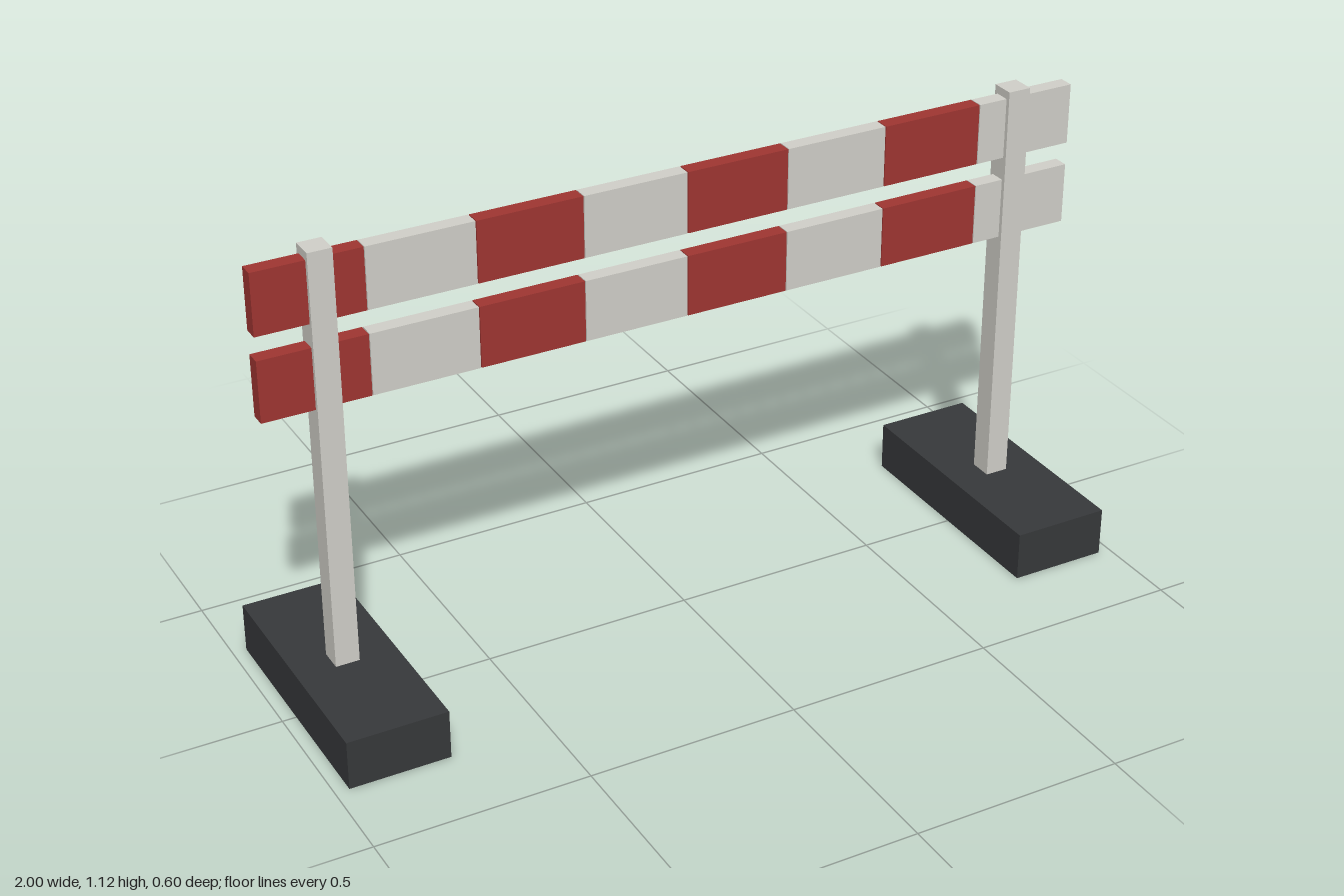
import * as THREE from 'three';

const paint = (color, side = THREE.FrontSide) =>
  new THREE.MeshStandardMaterial({ color, side });

function addMesh(parent, name, geometry, material, x, y, z = 0) {
  const mesh = new THREE.Mesh(geometry, material);
  mesh.name = name;
  mesh.position.set(x, y, z);
  parent.add(mesh);
  return mesh;
}

// Box without its underside, for the hollow feet
function openBottomBox(w, h, d) {
  const geo = new THREE.BoxGeometry(w, h, d);
  const index = Array.from(geo.index.array);
  index.splice(18, 6);
  geo.setIndex(index);
  geo.clearGroups();
  return geo;
}

export function createModel() {
  const model = new THREE.Group();
  model.name = 'barrier';

  const white = paint(0xd2d1ca);
  const red = paint(0xa03632);
  const rubber = paint(0x37393b, THREE.DoubleSide);

  // Two uprights, each standing in a hollow foot
  const footGeo = openBottomBox(0.236, 0.118, 0.596);
  const postGeo = new THREE.BoxGeometry(0.056, 1.12, 0.056);
  for (const [side, x] of [['left', 0.85], ['right', -0.85]]) {
    const support = new THREE.Group();
    support.name = `${side}Support`;
    addMesh(support, 'foot', footGeo, rubber, x, 0.061);
    addMesh(support, 'post', postGeo, white, x, 0.56);
    model.add(support);
  }

  // Two striped planks, eight alternating blocks each
  const count = 8;
  const pitch = 2 / count;
  const blockGeo = new THREE.BoxGeometry(pitch - 0.002, 0.145, 0.036);
  for (const [name, y] of [['lowerPlank', 0.828], ['upperPlank', 1.028]]) {
    const plank = new THREE.Group();
    plank.name = name;
    for (let i = 0; i < count; i++) {
      const isRed = i % 2 === 0;
      addMesh(plank, isRed ? 'redStripe' : 'whiteStripe', blockGeo,
        isRed ? red : white, -1 + pitch * (i + 0.5), y);
    }
    model.add(plank);
  }

  return model;
}
